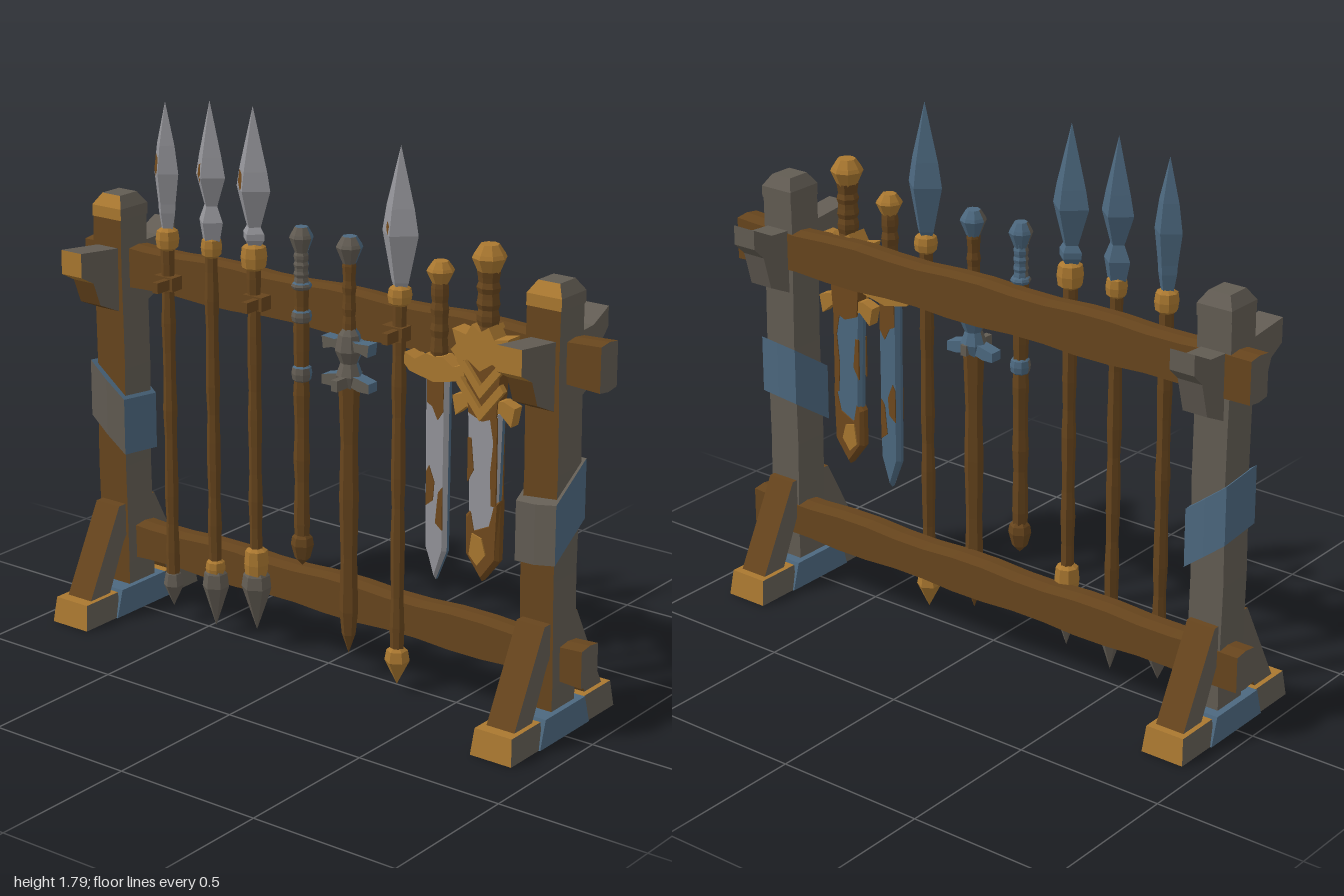
import * as THREE from 'three';

const mat = (name, color) => Object.assign(new THREE.MeshStandardMaterial({ color }), { name });
const wood = mat('wood', 0x67451d), gold = mat('gold', 0xaa7830), taupe = mat('weathered grey', 0x625c53),
  steel = mat('steel', 0x95959a), blue = mat('blue steel', 0x4c687f), rust = mat('rust', 0x70491d);

// Colour rules: get face normal and face centre, give a material
const steelRule = n => (n.z > 0.05 ? steel : blue);
const ironRule = n => (n.z > 0.1 && n.y < 0.75 ? taupe : blue);
const postRule = n => (n.z > 0.5 ? wood : taupe);

// Facets a geometry and colours each face by a material or a rule
function part(parent, name, geometry, paint) {
  const geo = geometry.index ? geometry.toNonIndexed() : geometry;
  geo.clearGroups();
  geo.computeVertexNormals();
  let mesh;
  if (typeof paint !== 'function') mesh = new THREE.Mesh(geo, paint);
  else {
    const mats = [], p = geo.attributes.position, tri = new THREE.Triangle();
    const n = new THREE.Vector3(), c = new THREE.Vector3();
    let start = 0, last = -1;
    for (let i = 0; i < p.count; i += 3) {
      tri.setFromAttributeAndIndices(p, i, i + 1, i + 2);
      tri.getNormal(n); tri.getMidpoint(c);
      const m = paint(n, c);
      if (!mats.includes(m)) mats.push(m);
      const k = mats.indexOf(m);
      if (k !== last && i > 0) { geo.addGroup(start, i - start, last); start = i; }
      last = k;
    }
    geo.addGroup(start, p.count - start, last);
    mesh = new THREE.Mesh(geo, mats);
  }
  mesh.name = name;
  parent.add(mesh);
  return mesh;
}

// Moves every vertex by a rule
function shapeBy(geo, rule) {
  const p = geo.attributes.position, v = new THREE.Vector3();
  for (let i = 0; i < p.count; i++) {
    rule(v.fromBufferAttribute(p, i));
    p.setXYZ(i, v.x, v.y, v.z);
  }
  return geo;
}

const outline = pts => new THREE.Shape(pts.map(([x, y]) => new THREE.Vector2(x, y)));
const mirrored = half => [...half, ...half.slice().reverse().filter(q => q[0] !== 0).map(([x, y]) => [-x, y])];
// Upright plate facing +z, centred on depth z
function plate(pts, x, z, depth, bevel = 0) {
  return new THREE.ExtrudeGeometry(outline(pts), {
    depth, bevelEnabled: bevel > 0, bevelSize: bevel, bevelOffset: -bevel, bevelThickness: bevel, bevelSegments: 1
  }).translate(x, 0, z - depth / 2);
}
// Slab drawn as (z, y) points, extruded along x
const slab = (pts, x, width) => new THREE.ExtrudeGeometry(outline(pts), { depth: width, bevelEnabled: false })
  .rotateY(-Math.PI / 2).translate(x + width / 2, 0, 0);

const Z = 0.033;
// Turned piece from (radius, y) points, bottom to top
const turned = (parent, name, paint, sides, x, pts, squash = 1) => part(parent, name,
  new THREE.LatheGeometry(pts.map(([r, y]) => new THREE.Vector2(r, y)), sides).scale(1, 1, squash).translate(x, 0, Z), paint);
const ring = (g, name, paint, x, y0, y1, r) => turned(g, name, paint, 8, x,
  [[r * 0.55, y0], [r * 0.9, y0 + 0.01], [r, (y0 + y1) / 2], [r * 0.9, y1 - 0.01], [r * 0.5, y1]]);
function shaft(g, name, x, y0, y1, r, paint = wood) {
  const pts = [[0, y0]];
  for (let i = 0; i <= 12; i++) pts.push([r * (1 + 0.1 * Math.sin(i * 2.3 + x * 20)), y0 + (y1 - y0) * i / 12]);
  pts.push([0, y1]);
  turned(g, name, paint, 7, x, pts);
}

function buildFrame(root) {
  // Beams, slightly uneven
  const beam = (name, x0, x1, y0, y1) => part(root, name, shapeBy(
    new THREE.BoxGeometry(x1 - x0, y1 - y0, 0.09, 16, 1, 2).translate((x0 + x1) / 2, (y0 + y1) / 2, -0.033), v => {
      v.y += 0.005 * Math.sin(v.x * 13 + (v.y > (y0 + y1) / 2 ? 1 : 4));
      if (Math.abs(v.z + 0.033) < 0.01) v.y += 0.006 * Math.sign(v.y - (y0 + y1) / 2);
    }), n => (Math.abs(n.x) > 0.8 ? taupe : wood));
  beam('topBeam', -0.995, 0.995, 1.115, 1.245);
  beam('bottomBeam', -0.985, 0.96, 0.178, 0.29);

  for (const side of [-1, 1]) {
    const x = side < 0 ? -0.862 : 0.822;
    const g = new THREE.Group();
    g.name = side < 0 ? 'rightStand' : 'leftStand';
    root.add(g);
    // Post with chamfered top
    part(g, 'post', shapeBy(new THREE.BoxGeometry(0.118, 1.35, 0.125, 1, 8, 1).translate(x, 0.675, -0.012),
      v => { v.x += 0.003 * Math.sin(v.y * 9); }), postRule);
    part(g, 'postCap', shapeBy(new THREE.BoxGeometry(0.122, 0.075, 0.13, 1, 2, 1).translate(0, 1.3825, 0), v => {
      if (v.y > 1.4) { v.x *= 0.62; v.z *= 0.62; }
    }).translate(x, 0, -0.012), n => (n.z > 0.3 ? gold : taupe));
    // Brackets at the top
    part(g, 'frontBracket', slab([[0.04, 1.035], [0.14, 1.08], [0.17, 1.16], [0.225, 1.19], [0.225, 1.27], [0.04, 1.25]], x, 0.085),
      (n, c) => (Math.abs(n.x) > 0.5 ? taupe : c.z > 0.18 ? gold : n.y > 0.5 ? taupe : wood));
    part(g, 'backBracket', slab([[-0.065, 1.25], [-0.15, 1.255], [-0.232, 1.295], [-0.232, 1.23], [-0.19, 1.19], [-0.16, 1.08], [-0.065, 1.035]], x, 0.085), taupe);
    // Cloth wrap, tilted around the post
    const [sx, sz, cy] = side < 0 ? [-0.78, 0.1, 0.7] : [0.1, -0.66, 0.71];
    part(g, 'wrap', shapeBy(new THREE.BoxGeometry(0.142, 0.19, 0.158, 2, 1, 2), v => {
      if (Math.abs(v.x) < 0.01) v.z *= 1.06;
      v.y += cy + sx * v.x + sz * v.z;
    }).translate(x, 0, -0.01), n => (n.z > 0.5 ? taupe : blue));
    // Foot: blue centre, gilded ends
    part(g, 'footCentre', shapeBy(new THREE.BoxGeometry(0.158, 0.092, 0.27).translate(0, 0.046, 0),
      v => { if (v.y > 0.05) v.z *= 0.8; }).translate(x, 0, 0), blue);
    for (const f of [1, -1]) {
      part(g, f > 0 ? 'frontFoot' : 'backFoot', shapeBy(new THREE.BoxGeometry(0.148, 0.085, 0.165).translate(0, 0.0425, 0), v => {
        if (v.y > 0.05) { v.x *= 0.9; if (v.z * f > 0) v.z -= f * 0.012; }
      }).translate(x, 0, f * 0.2), n => (n.y > 0.5 || Math.abs(n.z) > 0.5 ? gold : taupe));
      const strut = [[0.235, 0.08], [0.082, 0.375], [0.04, 0.375], [0.04, 0.28], [0.065, 0.245], [0.14, 0.08]].map(([z, y]) => [z * f - (f < 0 ? 0.012 : 0), y]);
      part(g, f > 0 ? 'frontStrut' : 'backStrut', slab(strut, x, 0.1), n => (Math.abs(n.x) > 0.5 ? taupe : wood));
    }
  }
  // Pegs holding the weapons
  for (const [x, y] of [[-0.605, 1.17], [-0.24, 1.17], [0.3, 1.17], [0.11, 0.985]]) {
    part(root, 'peg', new THREE.BoxGeometry(0.022, 0.035, 0.13).translate(x, y, 0.052), y > 1 ? wood : taupe);
    if (y > 1) part(root, 'pegStrap', new THREE.BoxGeometry(0.075, 0.045, 0.05).translate(x - 0.015, y, 0.035), wood);
  }
}

function buildSpear(root, { x, blade, collar, butt, buttPaint, buttRing, patch }) {
  const g = new THREE.Group();
  g.name = 'spear';
  root.add(g);
  shaft(g, 'spearShaft', x, butt[2][1] - 0.02, collar[1], 0.022);
  ring(g, 'collar', gold, x, collar[0], collar[1] + 0.02, collar[2]);
  turned(g, 'spearHead', steelRule, 4, x, blade, 0.85);
  turned(g, 'buttSpike', buttPaint, 6, x, butt);
  if (buttRing) ring(g, 'buttRing', gold, x, ...buttRing);
  // Rust patch lying on a front facet of the blade
  const radius = y => {
    const i = Math.max(1, blade.findIndex(q => q[1] >= y));
    const [r0, y0] = blade[i - 1], [r1, y1] = blade[i];
    return r0 + (r1 - r0) * (y - y0) / (y1 - y0);
  };
  const geo = shapeBy(new THREE.ShapeGeometry(outline(patch)), v => {
    v.z = Z + 0.85 * (radius(v.y) - Math.abs(v.x)) + 0.003;
    v.x += x;
  });
  part(g, 'rustPatch', geo, rust);
}

function buildSheathedSwords(root) {
  const pommel = (g, x, y0, y1, r, paint) => turned(g, 'pommel', paint, 8, x,
    [[r * 0.5, y0], [r, y0 + (y1 - y0) * 0.6], [r * 0.9, y0 + (y1 - y0) * 0.72], [r * 0.55, y1], [0, y1]]);
  // Slim dagger in a long scabbard
  const a = new THREE.Group(); a.name = 'slimSword'; root.add(a);
  pommel(a, -0.08, 1.355, 1.44, 0.038, ironRule);
  shaft(a, 'grip', -0.08, 1.25, 1.37, 0.023, ironRule);
  shaft(a, 'scabbard', -0.08, 0.4, 1.26, 0.025);
  for (const [y0, y1] of [[1.235, 1.27], [1.13, 1.18], [0.94, 1.0]]) ring(a, 'band', ironRule, -0.08, y0, y1, 0.033);
  turned(a, 'chape', wood, 6, -0.08, [[0, 0.33], [0.025, 0.355], [0.037, 0.4], [0.033, 0.425], [0.02, 0.44]]);
  // Long sword with a double guard
  const b = new THREE.Group(); b.name = 'doubleGuardSword'; root.add(b);
  pommel(b, 0.105, 1.355, 1.44, 0.042, ironRule);
  shaft(b, 'grip', 0.105, 1.1, 1.37, 0.021);
  turned(b, 'hilt', ironRule, 8, 0.105, [[0.03, 0.96], [0.042, 1.0], [0.028, 1.04], [0.045, 1.08], [0.035, 1.13], [0.02, 1.15]]);
  part(b, 'upperGuard', plate(mirrored([[0, 1.08], [0.05, 1.085], [0.085, 1.075], [0.09, 1.115], [0.04, 1.112], [0, 1.13]]), 0.105, Z, 0.045), ironRule);
  part(b, 'lowerGuard', plate(mirrored([[0, 0.975], [0.05, 0.96], [0.09, 0.96], [0.09, 0.99], [0.05, 1.0], [0, 1.01]]), 0.105, Z, 0.045), ironRule);
  turned(b, 'scabbard', wood, 6, 0.105, [[0, 0.075], [0.022, 0.14], [0.03, 0.22], [0.026, 0.4], [0.031, 0.6], [0.027, 0.78], [0.034, 0.97], [0, 0.97]]);

  // Short sword with bare blade
  const c = new THREE.Group(); c.name = 'shortSword'; root.add(c);
  pommel(c, 0.443, 1.345, 1.42, 0.043, gold);
  shaft(c, 'grip', 0.443, 1.1, 1.36, 0.027);
  part(c, 'guard', plate(mirrored([[0, 1.05], [0.045, 1.06], [0.09, 1.07], [0.11, 1.09], [0.108, 1.125], [0.07, 1.11], [0.03, 1.135], [0, 1.13]]), 0.443, Z, 0.06), gold);
  part(c, 'blade', plate(mirrored([[0, 0.41], [0.04, 0.51], [0.043, 1.07]]), 0.443, Z, 0.012, 0.012), steelRule);
  for (const pts of [
    [[-0.03, 0.98], [-0.01, 0.97], [0.01, 0.93], [0.03, 0.96], [0.03, 1.06], [-0.03, 1.06]],
    [[-0.03, 0.65], [-0.005, 0.67], [0.0, 0.73], [-0.02, 0.78], [-0.03, 0.76]],
    [[0.005, 0.6], [0.03, 0.58], [0.03, 0.72], [0.015, 0.7]]
  ]) for (const z of [Z + 0.018, Z - 0.018]) part(c, 'rustPatch', plate(pts, 0.443, z, 0.006), rust);

  // Broad sword with ornate hilt
  const d = new THREE.Group(), x = 0.617; d.name = 'broadSword'; root.add(d);
  pommel(d, x, 1.4, 1.5, 0.053, gold);
  shaft(d, 'grip', x, 1.22, 1.42, 0.034);
  part(d, 'ornateGuard', plate(mirrored([[0, 1.12], [0.045, 1.15], [0.07, 1.135], [0.105, 1.17], [0.085, 1.19], [0.1, 1.235], [0.05, 1.225], [0.03, 1.26], [0, 1.24]]), x, Z + 0.005, 0.075), gold);
  part(d, 'ricasso', plate(mirrored([[0, 0.96], [0.05, 0.98], [0.065, 1.17]]), x, Z, 0.05), rust);
  part(d, 'lowerGuard', plate(mirrored([[0, 0.985], [0.06, 0.995], [0.1, 0.96], [0.112, 1.02], [0.07, 1.035], [0, 1.02]]), x, Z, 0.04), gold);
  for (const y of [0.965, 1.035]) part(d, 'chevron',
    plate(mirrored([[0, y], [0.085, y + 0.105], [0.07, y + 0.125], [0, y + 0.04]]), x, Z + 0.03, 0.02), gold);
  part(d, 'blade', plate(mirrored([[0, 0.5], [0.05, 0.58], [0.063, 1.0]]), x, Z, 0.014, 0.012), steelRule);
  part(d, 'bladeTip', plate([[0, 0.447], [0.06, 0.525], [0.063, 0.72], [0.035, 0.7], [0.02, 0.64], [-0.02, 0.62], [-0.035, 0.68], [-0.062, 0.65], [-0.06, 0.525]], x, Z, 0.02, 0.011), rust);
  for (const z of [Z + 0.019, Z - 0.019]) {
    part(d, 'rustEdge', plate([[0.035, 0.7], [0.052, 0.7], [0.052, 0.98], [0.025, 0.98], [0.04, 0.9], [0.03, 0.8]], x, z, 0.006), rust);
    part(d, 'rustEdge', plate([[-0.052, 0.76], [-0.03, 0.8], [-0.04, 0.9], [-0.052, 0.9]], x, z, 0.006), rust);
  }
  for (const z of [Z + 0.023, Z - 0.023]) part(d, 'gildedPatch', plate([[-0.04, 0.53], [-0.01, 0.5], [0.02, 0.54], [0.005, 0.59], [-0.03, 0.6]], x, z, 0.006), gold);
}

export function createModel() {
  const root = new THREE.Group();
  root.name = 'weaponRack';
  buildFrame(root);
  buildSpear(root, {
    x: -0.622, blade: [[0.02, 1.33], [0.034, 1.4], [0.036, 1.43], [0.05, 1.53], [0.036, 1.62], [0, 1.757]], collar: [1.275, 1.33, 0.038],
    butt: [[0, 0.055], [0.034, 0.13], [0.026, 0.17], [0.015, 0.18]], buttPaint: taupe,
    patch: [[-0.04, 1.535], [-0.02, 1.52], [-0.004, 1.54], [-0.004, 1.58], [-0.034, 1.59]]
  });
  buildSpear(root, {
    x: -0.44, blade: [[0.02, 1.32], [0.035, 1.34], [0.048, 1.4], [0.026, 1.45], [0.059, 1.545], [0.045, 1.61], [0, 1.785]], collar: [1.28, 1.33, 0.034],
    butt: [[0, 0.03], [0.044, 0.17], [0.038, 0.215], [0.015, 0.24]], buttPaint: taupe, buttRing: [0.2, 0.265, 0.033],
    patch: [[-0.03, 1.55], [-0.01, 1.53], [-0.004, 1.57], [-0.01, 1.59], [-0.03, 1.58]]
  });
  buildSpear(root, {
    x: -0.268, blade: [[0.02, 1.34], [0.042, 1.37], [0.042, 1.39], [0.028, 1.41], [0.067, 1.53], [0.055, 1.59], [0, 1.79]], collar: [1.27, 1.335, 0.042],
    butt: [[0, 0.06], [0.05, 0.21], [0.044, 0.25], [0.02, 0.28]], buttPaint: taupe, buttRing: [0.235, 0.345, 0.04],
    patch: [[-0.05, 1.55], [-0.02, 1.53], [-0.006, 1.54], [-0.012, 1.58], [-0.045, 1.59]]
  });
  buildSpear(root, {
    x: 0.295, blade: [[0.02, 1.3], [0.032, 1.33], [0.067, 1.48], [0.052, 1.56], [0, 1.748]], collar: [1.255, 1.3, 0.038],
    butt: [[0, 0.02], [0.04, 0.1], [0.034, 0.135], [0.015, 0.15]], buttPaint: gold,
    patch: [[-0.03, 1.5], [-0.012, 1.48], [-0.005, 1.51], [-0.025, 1.52]]
  });
  buildSheathedSwords(root);
  return root;
}
